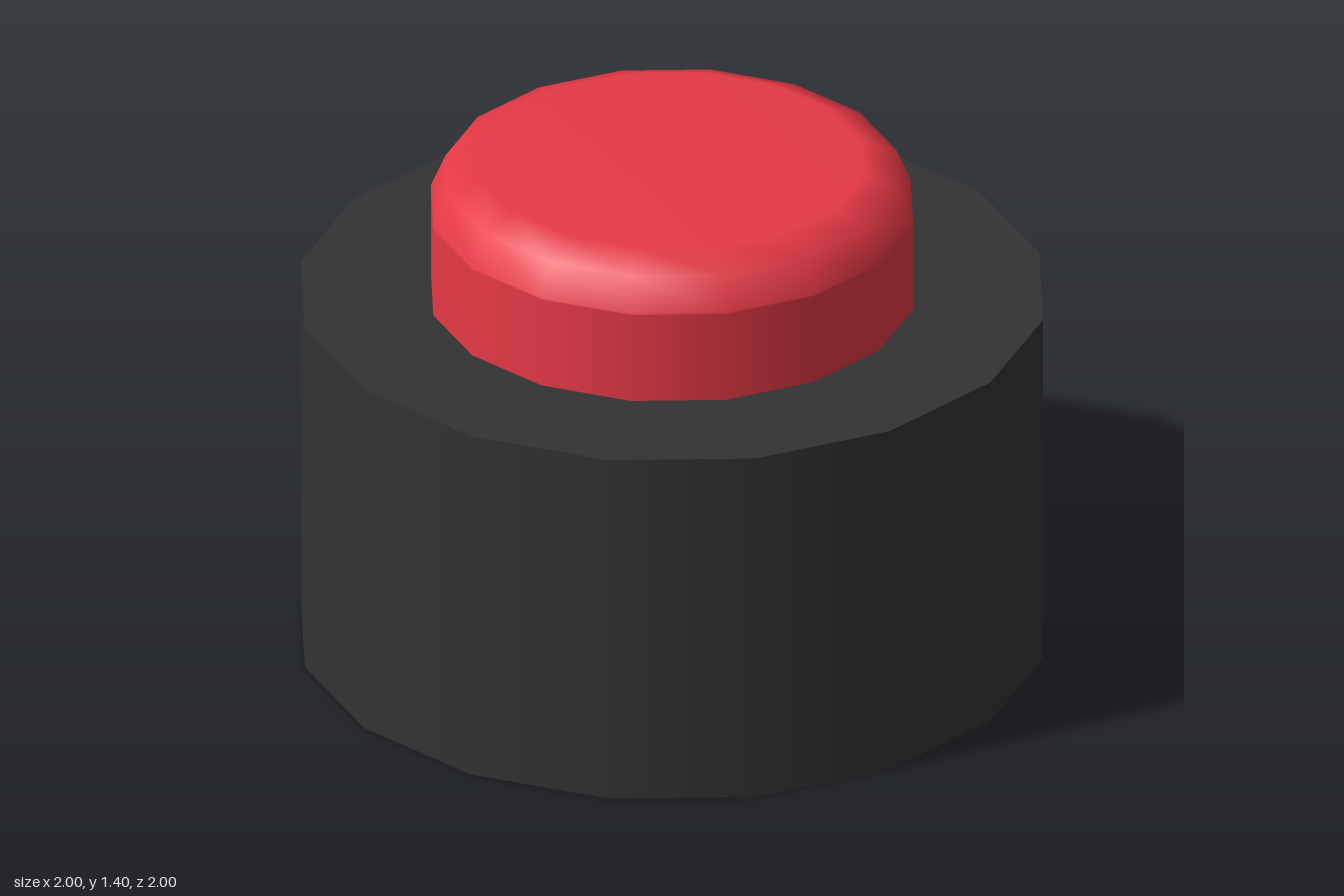
import * as THREE from 'three';

const SIDES = 16;
const BASE_HEIGHT = 1.01;

export function createModel() {
  const model = new THREE.Group();
  model.name = 'pushButton';

  // Dark round housing
  const housing = new THREE.Mesh(
    new THREE.CylinderGeometry(1, 1, BASE_HEIGHT, SIDES),
    new THREE.MeshStandardMaterial({ color: 0x333333 })
  );
  housing.name = 'housing';
  housing.position.y = BASE_HEIGHT / 2;
  model.add(housing);

  // Red plunger: straight wall, rounded shoulder, flat top
  const profile = [
    [0.65, BASE_HEIGHT], [0.65, 1.265], [0.65, 1.27],
    [0.61, 1.362], [0.515, 1.4], [0, 1.4],
  ].map(([r, y]) => new THREE.Vector2(r, y));
  const plunger = new THREE.Mesh(
    new THREE.LatheGeometry(profile, SIDES),
    new THREE.MeshStandardMaterial({ color: 0xe63946 })
  );
  plunger.name = 'plunger';
  model.add(plunger);

  return model;
}
